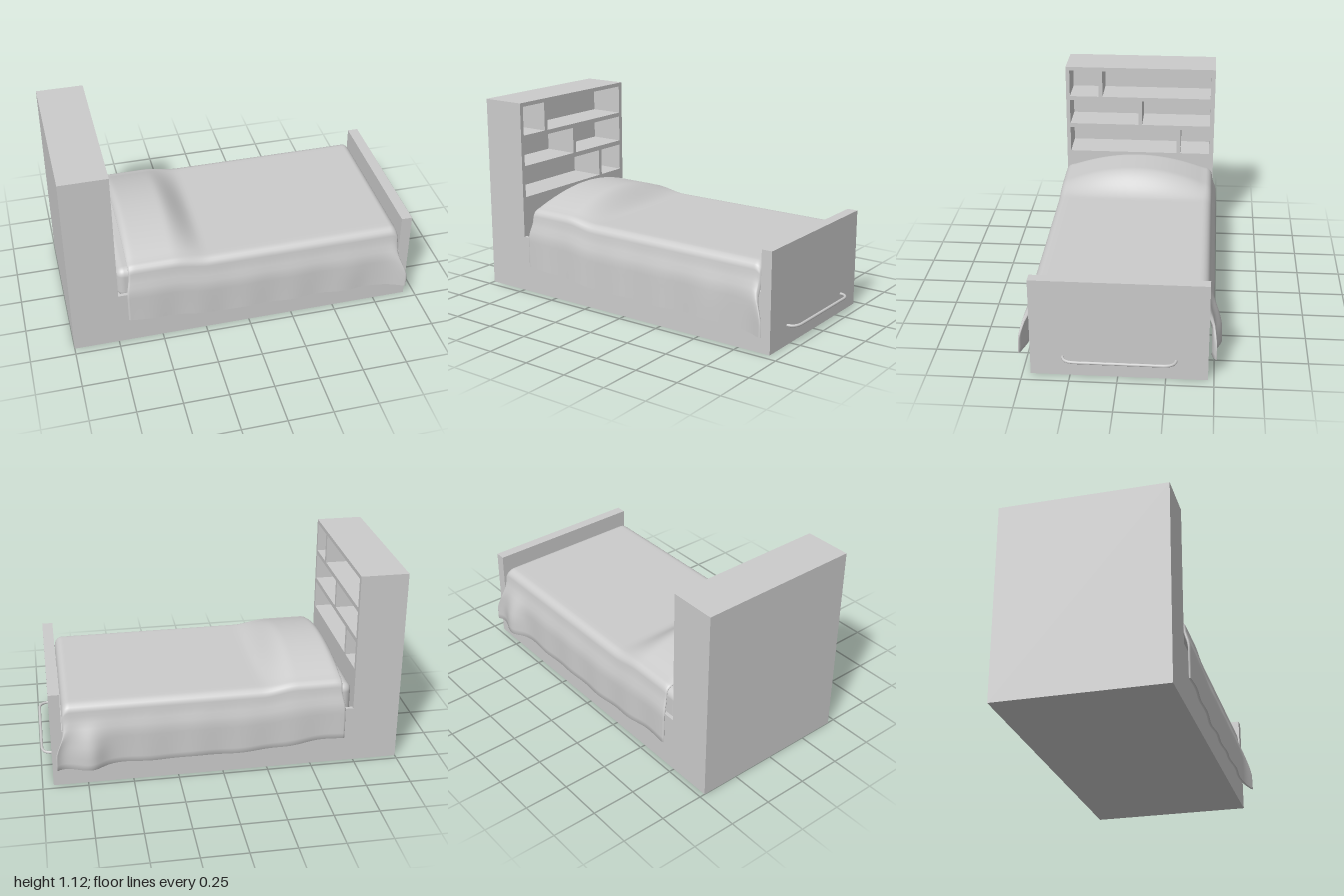
import * as THREE from 'three';
import { RoundedBoxGeometry } from 'three/addons/geometries/RoundedBoxGeometry.js';

const ZC = -0.006; // middle of the bed across its width
const HALF = 0.463; // half width of the frame
const { smoothstep, lerp } = THREE.MathUtils;
const bell = (x, centre, width) => Math.exp(-(((x - centre) / width) ** 2));

const material = new THREE.MeshStandardMaterial({ color: 0xcccccc });
const clothMaterial = new THREE.MeshStandardMaterial({ color: 0xcccccc, side: THREE.DoubleSide });

function add(group, name, geometry, mat = material) {
  const mesh = new THREE.Mesh(geometry, mat);
  mesh.name = name;
  group.add(mesh);
  return mesh;
}

// Box given by its two opposite corners
function box(group, name, [x0, y0, z0], [x1, y1, z1]) {
  const mesh = add(group, name, new THREE.BoxGeometry(x1 - x0, y1 - y0, z1 - z0));
  mesh.position.set((x0 + x1) / 2, (y0 + y1) / 2, (z0 + z1) / 2);
}

// Headboard: solid back plus a front slab pierced by staggered shelf openings
function buildHeadboard() {
  const group = new THREE.Group();
  group.name = 'headboard';
  const back = -0.94, front = -0.737, zMin = ZC - HALF, zMax = ZC + HALF;
  box(group, 'headboardBack', [-1, 0, zMin], [back, 1.12, zMax]);

  // The shape is drawn in (-z, y) and turned to face +x
  const rect = (path, a0, b0, a1, b1) =>
    path.moveTo(a0, b0).lineTo(a1, b0).lineTo(a1, b1).lineTo(a0, b1).closePath();
  const shape = new THREE.Shape();
  rect(shape, -zMax, 0, -zMin, 1.12);
  const rows = [
    { y0: 0.93, y1: 1.097, left: 0.255, right: 0.23 },
    { y0: 0.75, y1: 0.905, left: 0.005, right: -0.018 },
    { y0: 0.565, y1: 0.723, left: -0.236, right: -0.26 },
  ];
  for (const { y0, y1, left, right } of rows) {
    for (const [za, zb] of [[0.434, left], [right, -0.442]]) {
      const hole = new THREE.Path();
      rect(hole, -za, y0, -zb, y1);
      shape.holes.push(hole);
    }
  }
  const geometry = new THREE.ExtrudeGeometry(shape, { depth: front - back, bevelEnabled: false });
  add(group, 'headboardShelves', geometry.rotateY(Math.PI / 2).translate(back, 0, 0));
  return group;
}

// Blanket: a closed cloth section swept along the bed, raised over the pillow
function buildBlanket() {
  const thickness = 0.013, nx = 110, nAcross = 60;
  const geometry = new THREE.PlaneGeometry(1, 1, nx, nAcross * 2 + 2);
  const pos = geometry.attributes.position;
  const rowCount = nAcross * 2 + 3;

  // a runs from -1 (right hem) through 0 (centre) to 1 (left hem)
  function point(u, a, inset) {
    const side = Math.sign(a), d = Math.abs(a);
    const x = lerp(-0.672, 0.875, u);
    const hem = 0.123 + 0.036 * (1 - smoothstep(x, -0.6, -0.15)) - 0.012 * smoothstep(x, 0.6, 0.9)
      + 0.003 * Math.sin(x * 17 + side);
    const pillow = 0.11 * (1 - smoothstep(x, -0.42, -0.22)) * (1 - 0.25 * bell(x, -0.68, 0.025));
    const q = Math.max(0, (x - 0.83) / 0.046);
    const drop = 0.06 * (1 - Math.sqrt(Math.max(0, 1 - q * q)));
    const halfWidth = 0.458 - inset, r = 0.05;
    const flat = halfWidth - r;
    const top = (z) => 0.482 - inset - drop + pillow * (1 - (z / 0.47) ** 2);
    let y, z, fall = 0;
    if (d < 0.5) { // top
      z = (d / 0.5) * flat;
      y = top(z);
    } else if (d < 0.68) { // rounded shoulder
      const angle = ((d - 0.5) / 0.18) * Math.PI / 2;
      z = flat + r * Math.sin(angle);
      y = top(flat) - r * (1 - Math.cos(angle));
    } else { // hanging side, flaring over the frame and at the foot corners
      fall = (d - 0.68) / 0.32;
      y = lerp(top(flat) - r, hem, fall);
      const flare = side > 0
        ? 0.05 * bell(x, 0.9, 0.08) + 0.006 * bell(x, 0.6, 0.09)
        : 0.042 * bell(x, 0.73, 0.07) + 0.034 * bell(x, 0.9, 0.045);
      z = halfWidth + 0.025 * smoothstep(fall, 0, 0.4) + flare * smoothstep(fall, 0.1, 0.75)
        + 0.004 * fall * (1 + Math.sin(x * 23 + side * 2));
    }
    const shift = 0.045 * smoothstep(x, 0.7, 0.875) * smoothstep(fall, 0.2, 0.75)
      - 0.017 * (1 - smoothstep(x, -0.67, -0.5)) * smoothstep(fall, 0, 0.4);
    return [x + shift, y, ZC + side * z];
  }

  for (let row = 0; row < rowCount; row++) {
    for (let col = 0; col <= nx; col++) {
      const t = col / nx;
      const u = t - 0.95 * Math.sin(2 * Math.PI * t) / (2 * Math.PI);
      // The two layers meet in a rounded edge at both ends
      const full = Math.min(1, Math.sqrt(Math.min(u, 1 - u) * 1.55 / (thickness * 0.7)));
      const k = (rowCount - 1 - row) % (rowCount - 1);
      const outer = k <= nAcross;
      const a = outer ? 1 - 2 * k / nAcross : -1 + 2 * (k - nAcross - 1) / nAcross;
      const inset = (thickness / 2) * (outer ? 1 - full : 1 + full);
      pos.setXYZ(row * (nx + 1) + col, ...point(u, a, inset));
    }
  }
  geometry.computeVertexNormals();
  return geometry;
}

export function createModel() {
  const bed = new THREE.Group();
  bed.name = 'bed';
  const zMin = ZC - HALF, zMax = ZC + HALF;

  bed.add(buildHeadboard());

  // Frame: base with raised side rails, and the footboard
  box(bed, 'base', [-0.737, 0, zMin], [0.88, 0.27, zMax]);
  box(bed, 'leftRail', [-0.737, 0.27, zMax - 0.02], [0.88, 0.33, zMax]);
  box(bed, 'rightRail', [-0.737, 0.27, zMin], [0.88, 0.33, zMin + 0.02]);
  box(bed, 'footboard', [0.88, 0, zMin], [0.94, 0.555, zMax]);

  // Mattress
  const mattress = add(bed, 'mattress', new RoundedBoxGeometry(1.592, 0.193, 0.85, 5, 0.045));
  mattress.position.set(0.063, 0.3665, ZC - 0.006);

  // Pillow under the blanket
  const pillow = add(bed, 'pillow', new THREE.SphereGeometry(1, 32, 16));
  pillow.scale.set(0.15, 0.08, 0.33);
  pillow.position.set(-0.5, 0.47, ZC);

  add(bed, 'blanket', buildBlanket(), clothMaterial);

  // Bent pull handle on the footboard
  const v = (x, z) => new THREE.Vector3(x, 0.11, z);
  const path = new THREE.CurvePath();
  path.add(new THREE.QuadraticBezierCurve3(v(0.935, -0.302), v(0.988, -0.302), v(0.991, -0.24)));
  path.add(new THREE.LineCurve3(v(0.991, -0.24), v(0.991, 0.225)));
  path.add(new THREE.QuadraticBezierCurve3(v(0.991, 0.225), v(0.988, 0.287), v(0.935, 0.287)));
  add(bed, 'handle', new THREE.TubeGeometry(path, 48, 0.008, 10));

  return bed;
}
